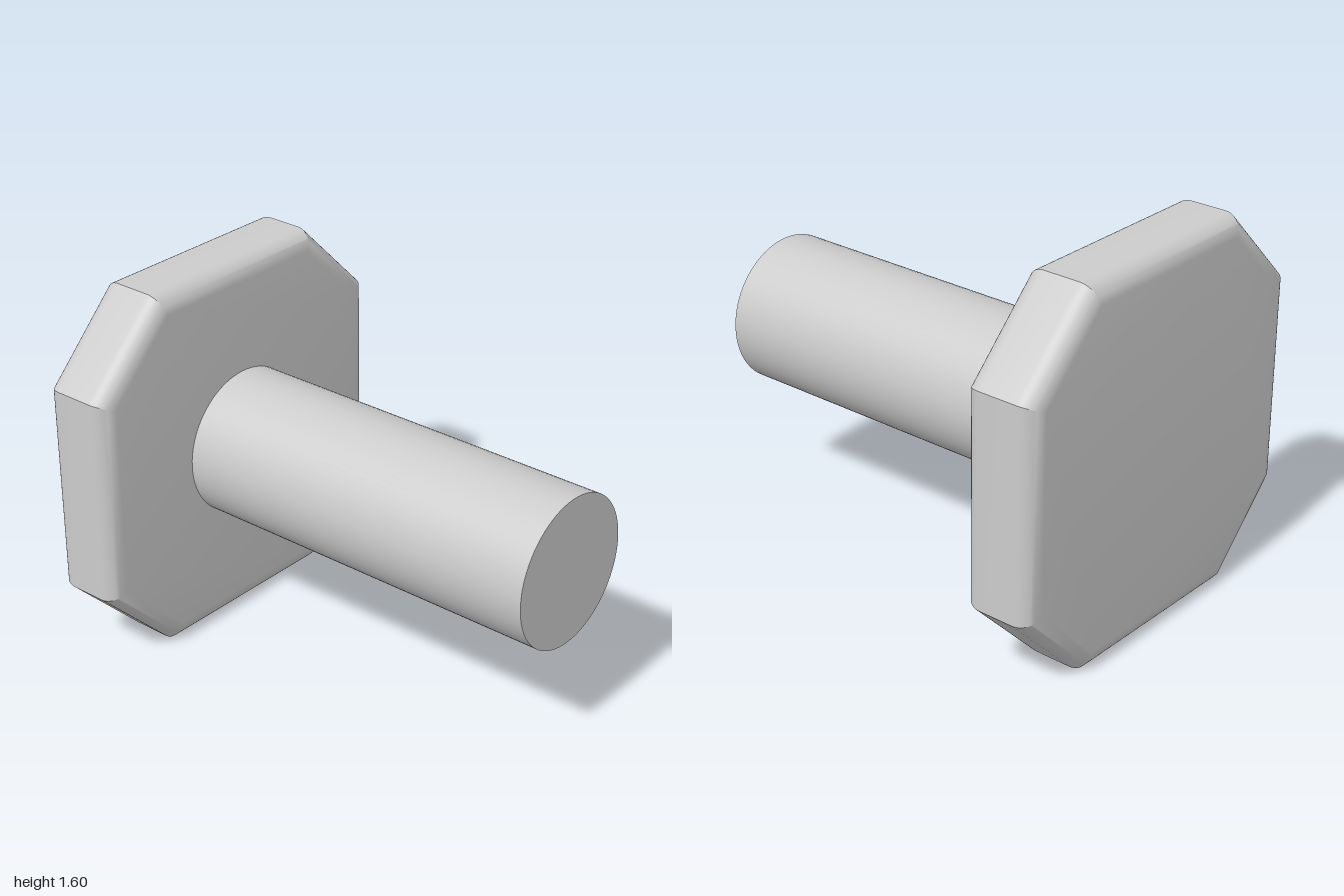
import * as THREE from 'three';
import { toCreasedNormals } from 'three/addons/utils/BufferGeometryUtils.js';

export function createModel() {
  const model = new THREE.Group();
  const material = new THREE.MeshStandardMaterial({ color: 0xcccccc });

  const half = 0.8, flat = 0.45;        // octagon half width, half length of its straight sides
  const thickness = 0.32, fillet = 0.08;
  const back = -1, front = 1, centreY = 0.8;

  // Octagonal plate with rounded rims and mitred corners
  const outline = new THREE.Shape([
    [flat, -half], [half, -flat], [half, flat], [flat, half],
    [-flat, half], [-half, flat], [-half, -flat], [-flat, -half],
  ].map(([x, y]) => new THREE.Vector2(x, y)));
  const plateGeometry = new THREE.ExtrudeGeometry(outline, {
    depth: thickness - 2 * fillet,
    bevelThickness: fillet,
    bevelSize: fillet,
    bevelOffset: -fillet,
    bevelSegments: 10,
  });
  const plate = new THREE.Mesh(toCreasedNormals(plateGeometry, 0.45), material);
  plate.name = 'plate';
  plate.position.set(0, centreY, back + fillet);
  model.add(plate);

  // Round shaft running forward from the plate
  const shaftStart = back + thickness;
  const length = front - shaftStart;
  const shaft = new THREE.Mesh(new THREE.CylinderGeometry(0.32, 0.32, length, 72), material);
  shaft.name = 'shaft';
  shaft.rotation.x = Math.PI / 2;
  shaft.position.set(0, centreY, shaftStart + length / 2);
  model.add(shaft);

  return model;
}
